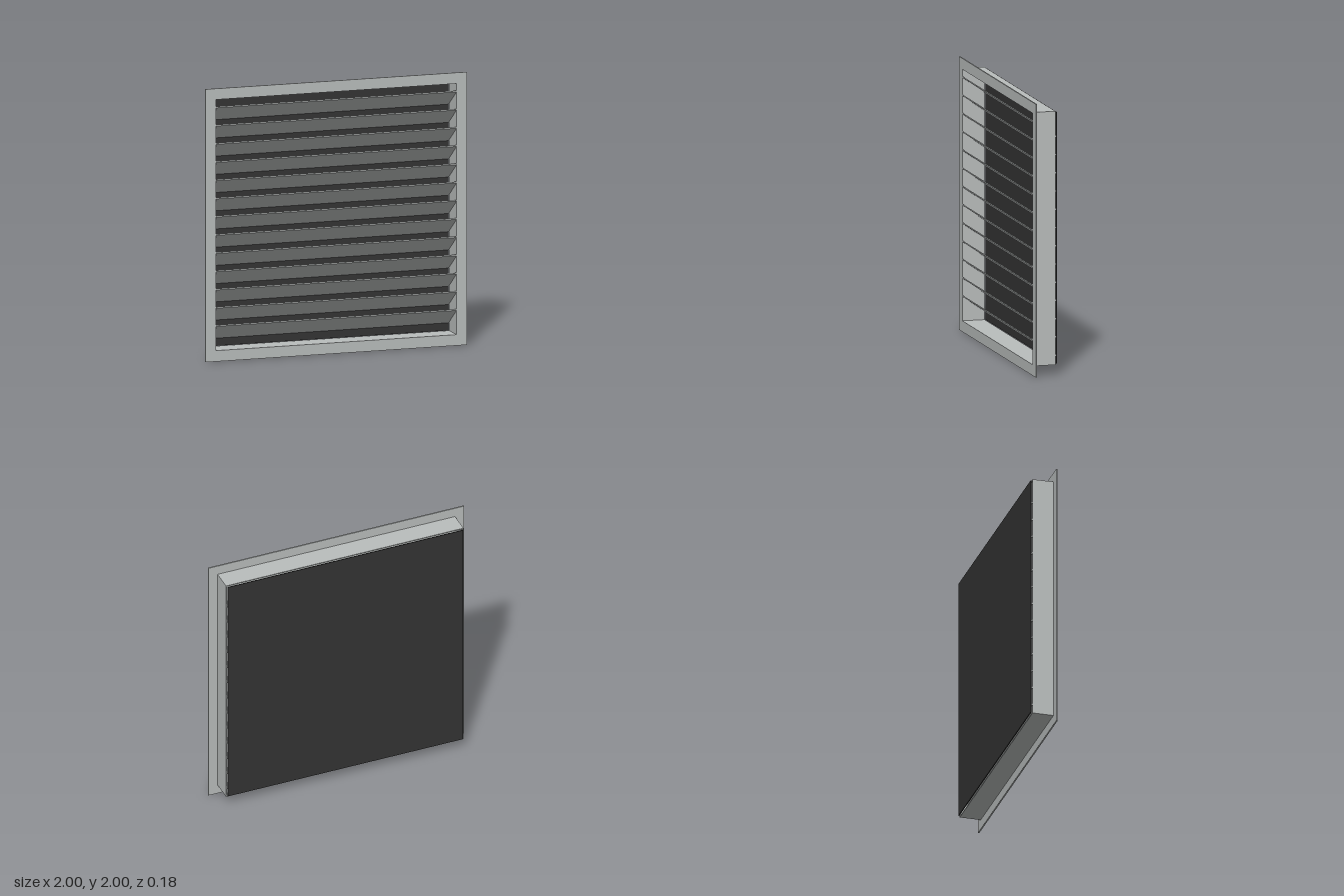
import * as THREE from 'three';

export function createModel() {
  const model = new THREE.Group();
  model.name = 'louvreGrille';

  const metal = new THREE.MeshStandardMaterial({ color: 0xb9bdbc });
  metal.name = 'light grey metal';
  const mesh = new THREE.MeshStandardMaterial({ color: 0x333333 });
  mesh.name = 'dark screen';

  const add = (name, geometry, material, x = 0, y = 0, z = 0) => {
    const part = new THREE.Mesh(geometry, material);
    part.name = name;
    part.position.set(x, y, z);
    model.add(part);
    return part;
  };

  // Square ring extruded along z, centred on the origin
  const ring = (outer, inner, depth) => {
    const square = (h) => [[-h, -h], [h, -h], [h, h], [-h, h]].map(([x, y]) => new THREE.Vector2(x, y));
    const shape = new THREE.Shape(square(outer));
    shape.holes.push(new THREE.Path(square(inner).reverse()));
    return new THREE.ExtrudeGeometry(shape, { depth, bevelEnabled: false });
  };

  const opening = 0.92;
  const back = -0.083;

  // Front flange and the duct collar behind it
  add('frontFlange', ring(1, opening, 0.01), metal, 0, 1, 0.08);
  add('ductCollar', ring(0.928, opening, 0.157), metal, 0, 1, -0.077);

  // Sloping blades: high at the front, low at the back
  const front = 0.088, drop = 0.121, thick = 0.01;
  const profile = new THREE.Shape([
    new THREE.Vector2(-front, 0),
    new THREE.Vector2(-front, -thick),
    new THREE.Vector2(-back, -drop - thick),
    new THREE.Vector2(-back, -drop),
  ]);
  const blade = new THREE.ExtrudeGeometry(profile, { depth: 2 * opening, bevelEnabled: false });
  blade.translate(0, 0, -opening);
  blade.rotateY(Math.PI / 2);

  for (let i = 0; i < 13; i++) {
    add('blade' + (i + 1), blade, metal, 0, 1.869 - i * 0.1335, 0);
  }

  // Screen closing the back
  add('backScreen', new THREE.BoxGeometry(2 * opening, 2 * opening, 0.007), mesh, 0, 1, back - 0.0035);

  return model;
}
